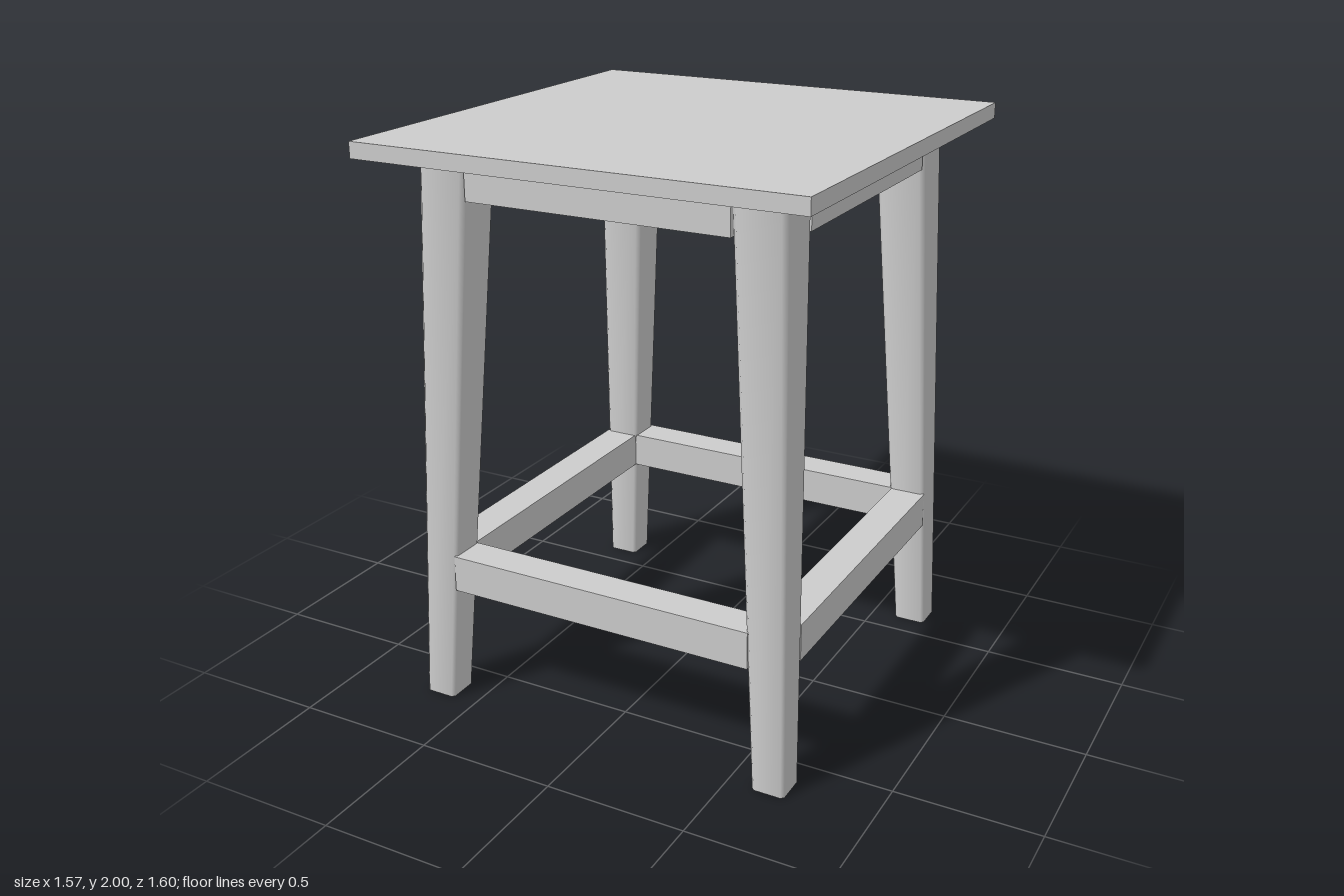
import * as THREE from 'three';

const TOP_Y = 2, SEAT_Y = 1.945;

// Tapered, splayed square leg with softened corners; sx and sz pick the corner
function legGeometry(sx, sz) {
  const geo = new THREE.CylinderGeometry(1, 1, 1, 8, 1, false, Math.PI / 8);
  const pos = geo.attributes.position;
  const square = v => Math.abs(v) < 0.1 ? 0 : Math.sign(v) * (Math.abs(v) > 0.6 ? 0.5 : 0.41);
  for (let i = 0; i < pos.count; i++) {
    const t = pos.getY(i) + 0.5;
    const width = THREE.MathUtils.lerp(0.116, 0.18, t);
    const centre = THREE.MathUtils.lerp(0.648, 0.555, t);
    pos.setXYZ(i,
      sx * centre + square(pos.getX(i)) * width,
      t * SEAT_Y,
      sz * centre + square(pos.getZ(i)) * width);
  }
  return geo;
}

export function createModel() {
  const group = new THREE.Group();
  const grey = new THREE.MeshStandardMaterial({ color: 0xcccccc });
  grey.name = 'light grey';

  const add = (name, geo, x = 0, y = 0, z = 0) => {
    const mesh = new THREE.Mesh(geo, grey);
    mesh.name = name;
    mesh.position.set(x, y, z);
    group.add(mesh);
  };

  // Four horizontal bars between the legs, flush with their faces
  const addFrame = (name, y0, y1, inner, outer) => {
    const height = y1 - y0, depth = outer - inner;
    const y = (y0 + y1) / 2, offset = (inner + outer) / 2;
    for (const s of [1, -1]) {
      add((s > 0 ? 'front' : 'back') + name,
        new THREE.BoxGeometry(inner * 2, height, depth), 0, y, s * offset);
      add((s > 0 ? 'left' : 'right') + name,
        new THREE.BoxGeometry(depth, height, inner * 2), s * offset, y, 0);
    }
  };

  // Seat board
  add('seat', new THREE.BoxGeometry(1.572, TOP_Y - SEAT_Y, 1.604), 0, (TOP_Y + SEAT_Y) / 2, 0);

  // Legs
  for (const sz of [1, -1]) for (const sx of [1, -1]) {
    add((sz > 0 ? 'front' : 'back') + (sx > 0 ? 'Left' : 'Right') + 'Leg', legGeometry(sx, sz));
  }

  // Rails under the seat and foot rungs
  addFrame('Apron', 1.81, SEAT_Y, 0.468, 0.645);
  addFrame('Rung', 0.43, 0.56, 0.562, 0.69);

  return group;
}
